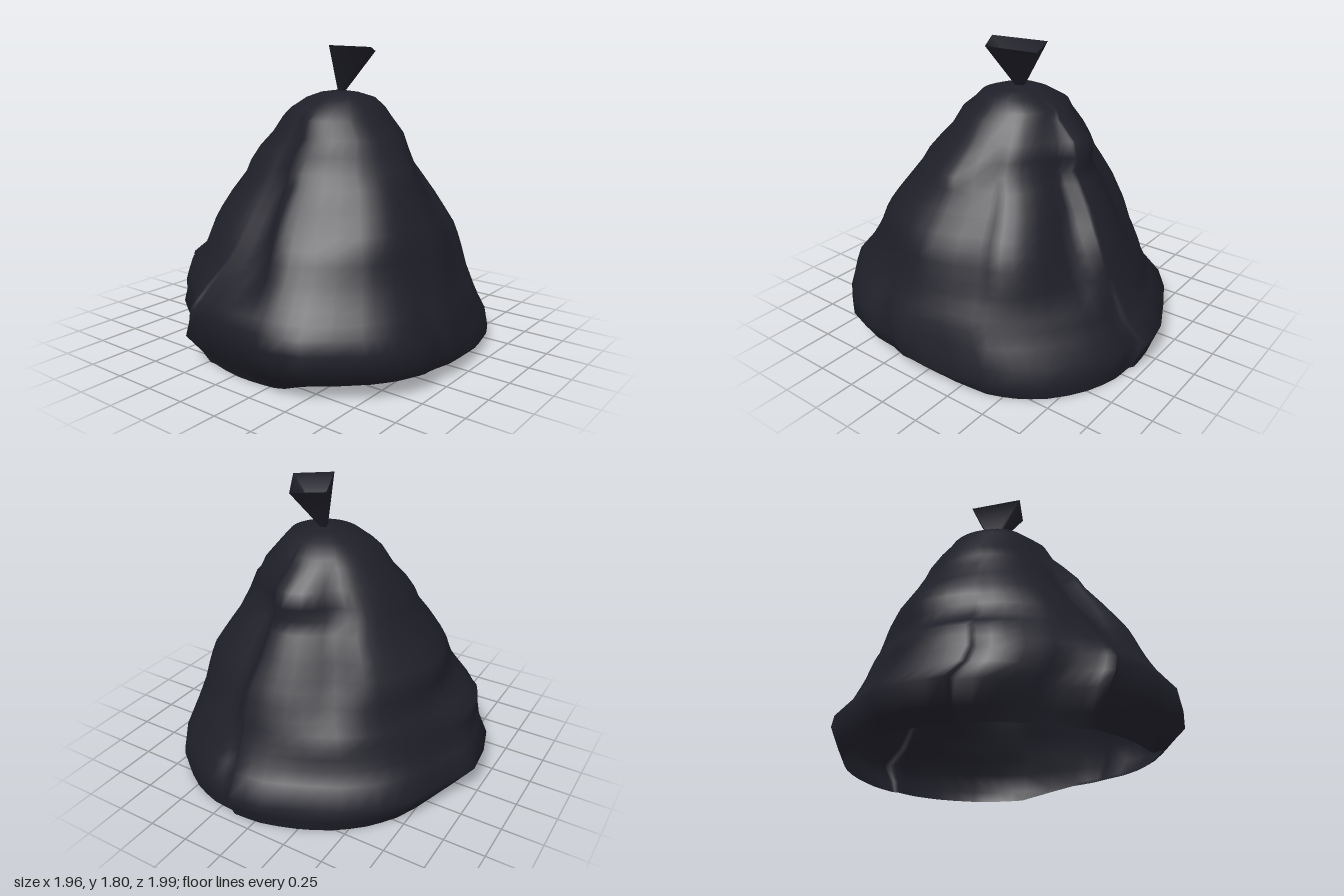
import * as THREE from 'three';

const plastic = new THREE.MeshStandardMaterial({ color: 0x1f1f29, side: THREE.DoubleSide });
plastic.name = 'dark plastic';

// Widest outline of the sack, x and z, going once around
const OUTLINE = [
  [0.98, 0.15], [0.95, 0.25], [0.97, 0.43], [0.92, 0.58], [0.82, 0.71], [0.55, 0.94], [0.37, 1.0],
  [0.2, 0.985], [0, 0.97], [-0.26, 0.91], [-0.31, 0.935], [-0.37, 0.83], [-0.48, 0.71], [-0.6, 0.65],
  [-0.77, 0.53], [-0.84, 0.4], [-0.9, 0.37], [-0.96, 0.17], [-0.98, -0.03], [-0.9, -0.2], [-0.8, -0.48],
  [-0.67, -0.65], [-0.5, -0.78], [-0.3, -0.88], [-0.08, -0.98], [0.12, -1.0], [0.15, -0.93],
  [0.3, -0.93], [0.48, -0.84], [0.68, -0.69], [0.8, -0.55], [0.88, -0.4], [0.95, -0.03],
];

// Rings: height, x min, x max, z min, z max
const RINGS = [
  [0, -0.82, 0.89, -0.92, 0.86], [0.07, -0.89, 0.95, -0.95, 0.9], [0.18, -0.98, 0.98, -1, 0.99],
  [0.28, -0.9, 0.965, -0.91, 1], [0.36, -0.86, 0.94, -0.86, 1], [0.42, -0.82, 0.915, -0.83, 0.96],
  [0.48, -0.79, 0.89, -0.8, 0.92], [0.54, -0.755, 0.87, -0.78, 0.89], [0.6, -0.71, 0.85, -0.76, 0.86],
  [0.68, -0.68, 0.825, -0.73, 0.825], [0.75, -0.66, 0.8, -0.7, 0.79], [0.82, -0.63, 0.755, -0.66, 0.74],
  [0.92, -0.58, 0.69, -0.61, 0.66], [1.04, -0.5, 0.62, -0.54, 0.56], [1.11, -0.47, 0.58, -0.48, 0.52],
  [1.19, -0.43, 0.53, -0.44, 0.45], [1.28, -0.36, 0.47, -0.4, 0.36], [1.38, -0.28, 0.38, -0.34, 0.31],
  [1.43, -0.24, 0.33, -0.32, 0.25], [1.49, -0.14, 0.28, -0.23, 0.18], [1.52, -0.06, 0.18, -0.14, 0.08],
  [1.535, 0.05, 0.05, -0.04, -0.04],
];

// Folds: bearing at the top, bearing at the lower end, lower height, width, depth
const FOLDS = [
  [98, 84, 0.45, 34, 0.22], [236, 236, 0.5, 22, 0.11],
  [283, 290, 0.4, 20, 0.15], [332, 338, 0.4, 16, 0.07],
];

// Bulges and dents: bearing, height, spread in degrees, spread in height, amount
const BULGES = [
  [168, 0.47, 22, 0.08, 0.1], [184, 0.8, 20, 0.1, 0.08], [268, 1.25, 24, 0.1, 0.25],
  [2, 1.11, 18, 0.05, 0.06], [28, 0.92, 20, 0.2, 0.08], [315, 1.1, 28, 0.15, -0.07],
  [315, 0, 35, 0.12, 0.08],
];

const { smoothstep, lerp, clamp, radToDeg } = THREE.MathUtils;
const turn = (a, b) => ((a - b + 540) % 360) - 180;

// Folds step sharply on one side and ease out on the other; bulges are rounded
function radiusScale(bearing, y) {
  let scale = 1;
  for (const [top, low, yLow, width, depth] of FOLDS) {
    const t = clamp((y - yLow) / (1.52 - yLow), 0, 1);
    const d = turn(bearing, lerp(low, top, t));
    const strength = Math.sin(Math.PI * Math.pow(t, 0.8));
    const shape = d > 0 ? Math.exp(-((d / width) ** 2)) : Math.exp(-((d / 6) ** 2));
    scale -= depth * strength * shape;
  }
  for (const [angle, height, wide, tall, amount] of BULGES) {
    scale += amount * Math.exp(-((turn(bearing, angle) / wide) ** 2) - ((y - height) / tall) ** 2);
  }
  return scale;
}

// The bottom opening lifts off the ground along one quarter
function rimLift(bearing) {
  const b = turn(bearing, 0);
  return 0.065 * smoothstep(b, -24, -4) * (1 - smoothstep(b, 58, 74));
}

function skin(rows, columns) {
  const index = [];
  for (let i = 0; i < rows - 1; i++) {
    for (let j = 0; j < columns; j++) {
      const a = i * columns + j, b = i * columns + (j + 1) % columns;
      index.push(a, a + columns, b, b, a + columns, b + columns);
    }
  }
  return index;
}

function makeSurface(positions, rows, columns) {
  const geometry = new THREE.BufferGeometry();
  geometry.setAttribute('position', new THREE.Float32BufferAttribute(positions, 3));
  geometry.setIndex(skin(rows, columns));
  geometry.computeVertexNormals();
  return geometry;
}

function makeSack() {
  // Two columns for each outline point
  const columns = OUTLINE.flatMap(([x, z], i) => {
    const [nx, nz] = OUTLINE[(i + 1) % OUTLINE.length];
    return [[x, z], [(x + nx) / 2, (z + nz) / 2]];
  });
  const positions = [];
  for (const [y, x0, x1, z0, z1] of RINGS) {
    // The outline shows at the widest height and smooths out above and below
    const rounding = Math.max(smoothstep(y, 0.15, 0.7), 0.7 * (1 - smoothstep(y, 0, 0.17)));
    for (const [px, pz] of columns) {
      const ux = px / 0.98, angle = Math.atan2(pz, ux);
      const bearing = (radToDeg(angle) + 360) % 360;
      const scale = radiusScale(bearing, y);
      const u = lerp(ux, Math.cos(angle), rounding) * scale;
      const v = lerp(pz, Math.sin(angle), rounding) * scale;
      const lift = y < 0.1 ? rimLift(bearing) * (y === 0 ? 1 : 0.4) : 0;
      const spread = 1 + lift * 0.8;
      positions.push(
        (x0 + x1) / 2 + u * spread * (x1 - x0) / 2,
        y + lift,
        (z0 + z1) / 2 + v * spread * (z1 - z0) / 2,
      );
    }
  }
  return makeSurface(positions, RINGS.length, columns.length);
}

// Open four-sided funnel above the tie
function makeTiedTop() {
  const lip = [[0.1, 1.8, 0.13], [-0.03, 1.78, -0.17], [0.17, 1.76, -0.24], [0.31, 1.79, 0.01]];
  const neck = lip.map(([x, , z]) => [lerp(0.05, x, 0.14), 1.52, lerp(-0.04, z, 0.14)]);
  return makeSurface([...neck, ...lip].flat(), 2, 4);
}

export function createModel() {
  const group = new THREE.Group();
  group.name = 'tiedSack';
  const sack = new THREE.Mesh(makeSack(), plastic);
  sack.name = 'sackBody';
  const top = new THREE.Mesh(makeTiedTop(), plastic);
  top.name = 'tiedTop';
  group.add(sack, top);
  return group;
}
